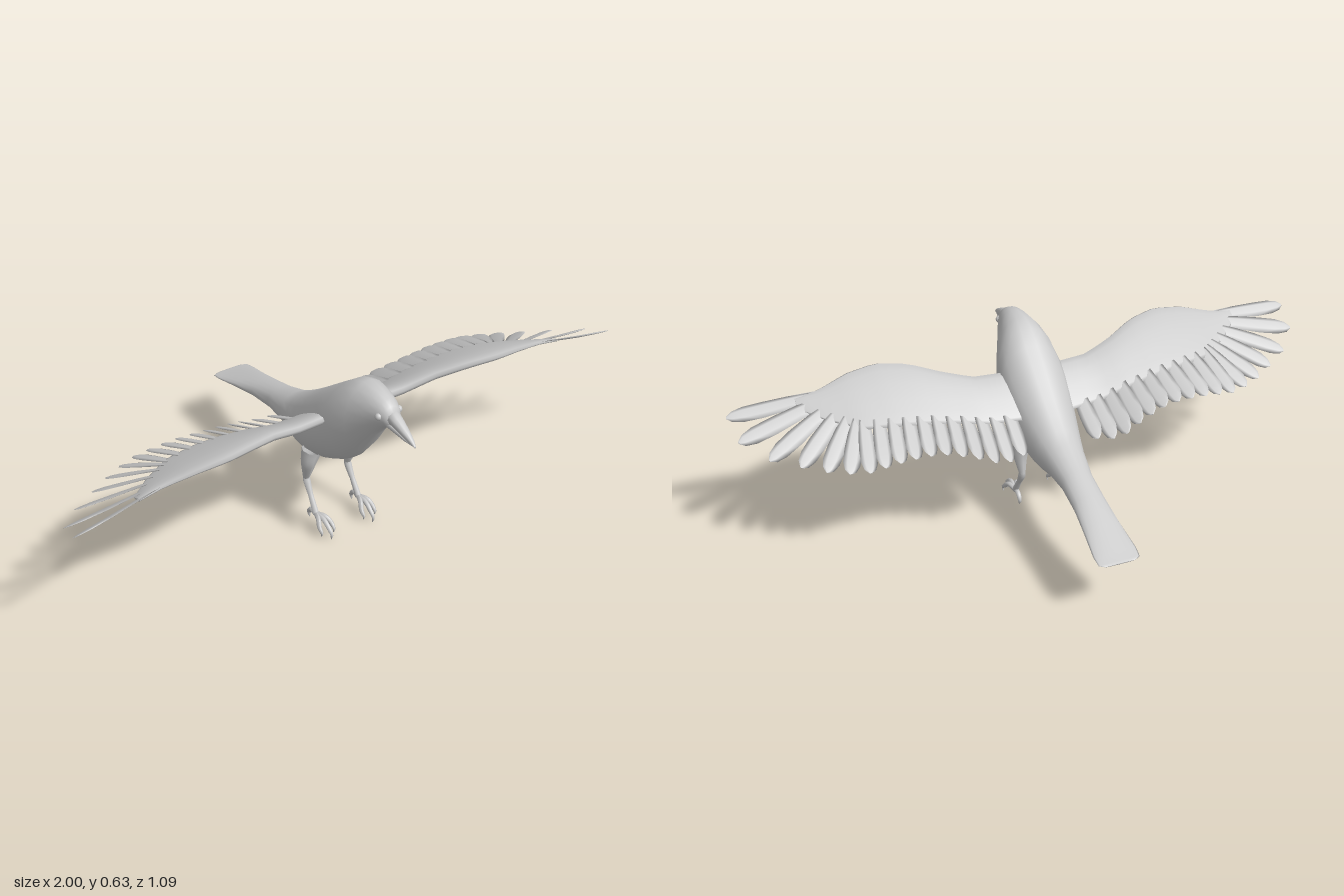
import * as THREE from 'three';

const V = (x, y, z) => new THREE.Vector3(x, y, z);
const grey = new THREE.MeshStandardMaterial({ color: 0xcccccc, side: THREE.DoubleSide });

// Linear lookup in a list of [key, value] pairs
function track(pairs, k) {
  for (let i = 1; i < pairs.length; i++) {
    const [a, va] = pairs[i - 1], [b, vb] = pairs[i];
    if (k <= b || i === pairs.length - 1) {
      return THREE.MathUtils.lerp(va, vb, THREE.MathUtils.clamp((k - a) / (b - a), 0, 1));
    }
  }
}

// Skin through closed rings of points, capped at both ends
function loft(rings) {
  const n = rings[0].length, pos = [], idx = [];
  rings.forEach(r => r.forEach(p => pos.push(p.x, p.y, p.z)));
  for (let i = 0; i < rings.length - 1; i++) {
    for (let j = 0; j < n; j++) {
      const a = i * n + j, b = i * n + (j + 1) % n, c = a + n, d = b + n;
      idx.push(a, c, b, b, c, d);
    }
  }
  [0, rings.length - 1].forEach(e => {
    const mid = rings[e].reduce((s, p) => s.add(p), V(0, 0, 0)).divideScalar(n);
    const m = pos.length / 3;
    pos.push(mid.x, mid.y, mid.z);
    for (let j = 0; j < n; j++) {
      const a = e * n + j, b = e * n + (j + 1) % n;
      idx.push(...(e === 0 ? [m, a, b] : [m, b, a]));
    }
  });
  const g = new THREE.BufferGeometry();
  g.setAttribute('position', new THREE.Float32BufferAttribute(pos, 3));
  g.setIndex(idx);
  g.computeVertexNormals();
  return g;
}

// Ring from a function of the angle
const ring = (n, f) => Array.from({ length: n }, (_, j) => {
  const a = j / n * Math.PI * 2;
  return f(Math.cos(a), Math.sin(a));
});

// Skin of elliptical sections [z, top, bottom, halfWidth], ordered front to back
const sectionLoft = (sections, n) => loft(sections.map(([z, top, bottom, w]) =>
  ring(n, (c, s) => V(c * w, (top + bottom) / 2 + s * (top - bottom) / 2, z))));

// Tube whose radius follows a list of [t, radius]
function limb(points, radii, steps = 14, sides = 8) {
  const curve = new THREE.CatmullRomCurve3(points, false, 'centripetal');
  const g = new THREE.TubeGeometry(curve, steps, 1, sides);
  const p = g.attributes.position;
  for (let i = 0; i < p.count; i++) {
    const t = Math.floor(i / (sides + 1)) / steps;
    const c = curve.getPointAt(t), r = track(radii, t);
    p.setXYZ(i, c.x + (p.getX(i) - c.x) * r, c.y + (p.getY(i) - c.y) * r, c.z + (p.getZ(i) - c.z) * r);
  }
  g.computeVertexNormals();
  return g;
}

// Mirror across x, keeping faces outward
function mirror(geometry) {
  const g = geometry.clone().scale(-1, 1, 1), ix = g.index;
  for (let i = 0; i < ix.count; i += 3) {
    const t = ix.getX(i);
    ix.setX(i, ix.getX(i + 1));
    ix.setX(i + 1, t);
  }
  g.computeVertexNormals();
  return g;
}

// Wing surface: leading edge, its height, rear of the covered part and thickness by span
const leadZ = [[0.05, 0.22], [0.2, 0.23], [0.3, 0.255], [0.4, 0.3], [0.5, 0.325], [0.6, 0.315], [0.7, 0.29], [0.8, 0.29], [1, 0.31]];
const leadY = [[0.05, 0.475], [0.2, 0.48], [0.3, 0.51], [0.4, 0.54], [0.5, 0.55], [0.6, 0.54], [0.7, 0.515], [0.8, 0.497], [0.9, 0.483], [1, 0.474]];
const rearZ = [[0.05, 0.05], [0.4, 0.07], [0.5, 0.08], [0.6, 0.1], [0.7, 0.17], [0.78, 0.25]];
const thick = [[0.05, 0.045], [0.5, 0.035], [0.7, 0.018], [0.8, 0.01]];
const wingY = (x, z) => track(leadY, x) - (0.5 - 0.1 * Math.min(x / 0.5, 1)) * (track(leadZ, x) - z);

function wingArm() {
  const rings = [];
  for (let i = 0; i <= 20; i++) {
    const x = 0.05 + 0.73 * i / 20;
    const l = track(leadZ, x), r = track(rearZ, x), t = track(thick, x) / 2;
    rings.push(ring(14, (c, s) => {
      const k = 0.5 + 0.5 * c, z = r + (l - r) * k;
      return V(x, wingY(x, z) + s * t * (0.35 + 1.1 * k), z);
    }));
  }
  return loft(rings);
}

// Thin blade lying on the wing surface, tilted to overlap its neighbour
function feather(bx, bz, tx, tz, width) {
  const dir = new THREE.Vector2(tx - bx, tz - bz).normalize();
  const outline = [[0, 0.6], [0.3, 0.85], [0.6, 1], [0.82, 0.95], [0.94, 0.65], [1, 0.12]];
  return loft(outline.map(([t, w]) => ring(6, (c, s) => {
    const x = bx + (tx - bx) * t - dir.y * c * w * width;
    const z = bz + (tz - bz) * t + dir.x * c * w * width;
    return V(x, wingY(x, z) + s * 0.004 * w + c * w * 0.007, z);
  })));
}

export function createModel() {
  const model = new THREE.Group();
  const add = (name, geometry, parent = model) => {
    const m = new THREE.Mesh(geometry, grey);
    m.name = name;
    parent.add(m);
  };

  // Head, trunk and tail in one skin
  add('body', sectionLoft([
    [0.438, 0.592, 0.545, 0.022], [0.425, 0.606, 0.535, 0.033], [0.4, 0.62, 0.517, 0.045],
    [0.36, 0.63, 0.468, 0.061], [0.3, 0.632, 0.378, 0.087], [0.25, 0.615, 0.315, 0.106],
    [0.2, 0.577, 0.28, 0.115], [0.15, 0.54, 0.255, 0.115], [0.1, 0.502, 0.236, 0.109],
    [0.05, 0.464, 0.223, 0.1], [0, 0.428, 0.221, 0.09], [-0.05, 0.396, 0.228, 0.079],
    [-0.1, 0.368, 0.242, 0.068], [-0.2, 0.333, 0.246, 0.054], [-0.3, 0.303, 0.24, 0.055],
    [-0.4, 0.268, 0.229, 0.062], [-0.5, 0.233, 0.218, 0.071], [-0.535, 0.222, 0.215, 0.068],
    [-0.545, 0.219, 0.215, 0.05],
  ], 18));

  // Beak halves
  add('upperBeak', sectionLoft([
    [0.545, 0.531, 0.524, 0.003], [0.53, 0.546, 0.529, 0.008], [0.5, 0.564, 0.536, 0.014],
    [0.46, 0.584, 0.546, 0.02], [0.415, 0.602, 0.553, 0.027]], 10));
  add('lowerBeak', sectionLoft([
    [0.535, 0.53, 0.525, 0.003], [0.5, 0.542, 0.525, 0.011], [0.46, 0.554, 0.529, 0.017],
    [0.415, 0.562, 0.535, 0.025]], 10));

  // Wing feathers: fanned outer ones, then a row of shorter inner ones
  const feathers = [
    [0.71, 0.272, 1, 0.303, 0.022], [0.69, 0.25, 0.985, 0.205, 0.026], [0.67, 0.225, 0.91, 0.112, 0.027],
    [0.65, 0.2, 0.825, 0.052, 0.028], [0.63, 0.17, 0.755, 0.005, 0.028], [0.61, 0.15, 0.69, -0.028, 0.028],
  ];
  const tipZ = [[0.13, -0.065], [0.2, -0.085], [0.25, -0.075], [0.3, -0.06], [0.4, -0.04], [0.6, -0.048]];
  for (let i = 0; i < 11; i++) {
    const x = 0.13 + 0.05 * i;
    feathers.push([x - 0.005 - i * 0.003, 0.14, x, track(tipZ, x), 0.027]);
  }

  const claw = [[0, 0.009], [0.6, 0.008], [0.8, 0.006], [1, 0.001]];
  const toe = (x, z, y) => limb([
    V(0.085, 0.052, 0.145), V(0.085 + (x - 0.085) * 0.6, 0.055, 0.145 + (z - 0.145) * 0.5),
    V(x, 0.036, z - 0.014), V(x, 0.022, z), V(x, y, z - 0.004)], claw);

  for (const side of ['left', 'right']) {
    const fit = g => side === 'left' ? g : mirror(g);

    const wing = new THREE.Group();
    wing.name = side + 'Wing';
    add('wingArm', fit(wingArm()), wing);
    feathers.forEach(f => add('feather', fit(feather(...f)), wing));
    model.add(wing);

    // Leg with three front toes and one rear toe
    const leg = new THREE.Group();
    leg.name = side + 'Leg';
    add('thigh', fit(limb([V(0.072, 0.28, 0.1), V(0.082, 0.235, 0.097), V(0.082, 0.16, 0.082)],
      [[0, 0.034], [0.4, 0.026], [1, 0.011]])), leg);
    add('shank', fit(limb([V(0.082, 0.17, 0.082), V(0.082, 0.155, 0.085), V(0.085, 0.05, 0.146)],
      [[0, 0.011], [0.15, 0.013], [0.5, 0.009], [1, 0.011]])), leg);
    add('innerToe', fit(toe(0.06, 0.215, 0.008)), leg);
    add('middleToe', fit(toe(0.083, 0.236, 0.001)), leg);
    add('outerToe', fit(toe(0.106, 0.213, 0.008)), leg);
    add('rearToe', fit(limb([V(0.085, 0.052, 0.145), V(0.085, 0.054, 0.12), V(0.085, 0.036, 0.104),
      V(0.085, 0.015, 0.108)], claw)), leg);
    model.add(leg);

    add(side + 'Eye', fit(new THREE.SphereGeometry(0.012, 14, 10).translate(0.037, 0.574, 0.408)));
  }
  return model;
}
